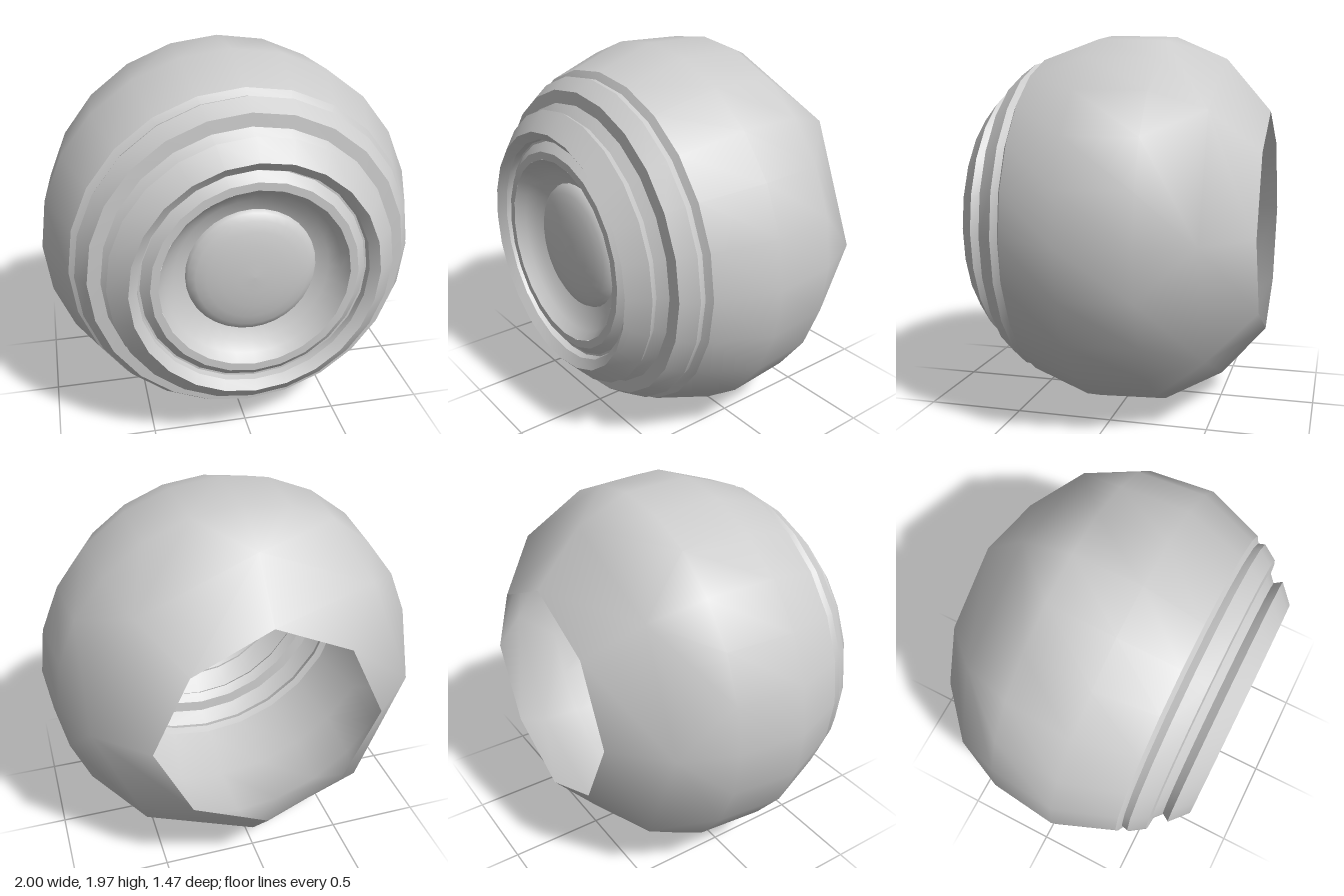
import * as THREE from 'three';
import { toCreasedNormals } from 'three/addons/utils/BufferGeometryUtils.js';

const material = new THREE.MeshStandardMaterial({ color: 0xcccccc, side: THREE.DoubleSide });

// Joins rings from back to front, whatever their side counts.
// Each ring is [sides, x radius, y radius, z, scale of every second corner].
function stitchedRings(rings) {
  const positions = [], indices = [];
  const starts = rings.map(([n, rx, ry, z, odd = 1]) => {
    const start = positions.length / 3;
    for (let i = 0; i < n; i++) {
      const a = (i / n) * Math.PI * 2;
      const s = i % 2 ? odd : 1;
      positions.push(s * rx * Math.cos(a), s * ry * Math.sin(a), z);
    }
    return start;
  });
  for (let k = 0; k < rings.length - 1; k++) {
    const n = rings[k][0], m = rings[k + 1][0];
    const back = i => starts[k] + (i % n);
    const front = j => starts[k + 1] + (j % m);
    let i = 0, j = 0;
    while (i < n || j < m) {
      // advance along whichever ring lags behind in angle
      if (j >= m || (i < n && (i + 0.5) / n < (j + 0.5) / m)) {
        indices.push(back(i), back(i + 1), front(j));
        i++;
      } else {
        indices.push(back(i), front(j + 1), front(j));
        j++;
      }
    }
  }
  const geometry = new THREE.BufferGeometry();
  geometry.setAttribute('position', new THREE.Float32BufferAttribute(positions, 3));
  geometry.setIndex(indices);
  geometry.computeVertexNormals();
  return geometry;
}

// Turns a profile of [radius, z] about the z axis.
function turned(profile, sides, crease) {
  const points = profile.map(([r, z]) => new THREE.Vector2(r, z));
  const geometry = new THREE.LatheGeometry(points, sides).rotateX(Math.PI / 2);
  return crease ? toCreasedNormals(geometry, crease) : geometry;
}

export function createModel() {
  const group = new THREE.Group();
  const add = (name, geometry) => {
    const mesh = new THREE.Mesh(geometry, material);
    mesh.name = name;
    mesh.position.y = 0.99;
    group.add(mesh);
  };

  // Hollow ball, coarse towards the eight-sided hole at the back
  add('ballShell', stitchedRings([
    [8, 0.585, 0.585, -0.737, 0.96],
    [8, 0.84, 0.855, -0.505],
    [24, 0.96, 0.973, -0.235],
    [24, 1.0, 0.985, 0.12],
    [24, 0.88, 0.88, 0.43],
  ]));

  // Stepped collar with a groove behind each ring
  add('steppedCollar', turned([
    [0.88, 0.43], [0.845, 0.45], [0.855, 0.485], [0.8, 0.565],
    [0.735, 0.57], [0.69, 0.61], [0.715, 0.65], [0.62, 0.735],
    [0.575, 0.7], [0.57, 0.665],
  ], 24, 0.4));

  // Rim around the lens
  add('lensRim', turned([
    [0.57, 0.665], [0.56, 0.665], [0.515, 0.705], [0.475, 0.705],
  ], 24, 0.4));

  // Dished recess leading down to the lens
  add('lensRecess', turned([
    [0.475, 0.705], [0.44, 0.655], [0.39, 0.615], [0.33, 0.59],
  ], 32));

  // Domed lens
  const dome = [];
  for (let i = 0; i < 6; i++) {
    const t = (i / 6) * Math.PI / 2;
    dome.push([0.33 * Math.cos(t), 0.59 + 0.08 * Math.sin(t)]);
  }
  dome.push([0, 0.67]);
  add('lens', turned(dome, 32));

  return group;
}
